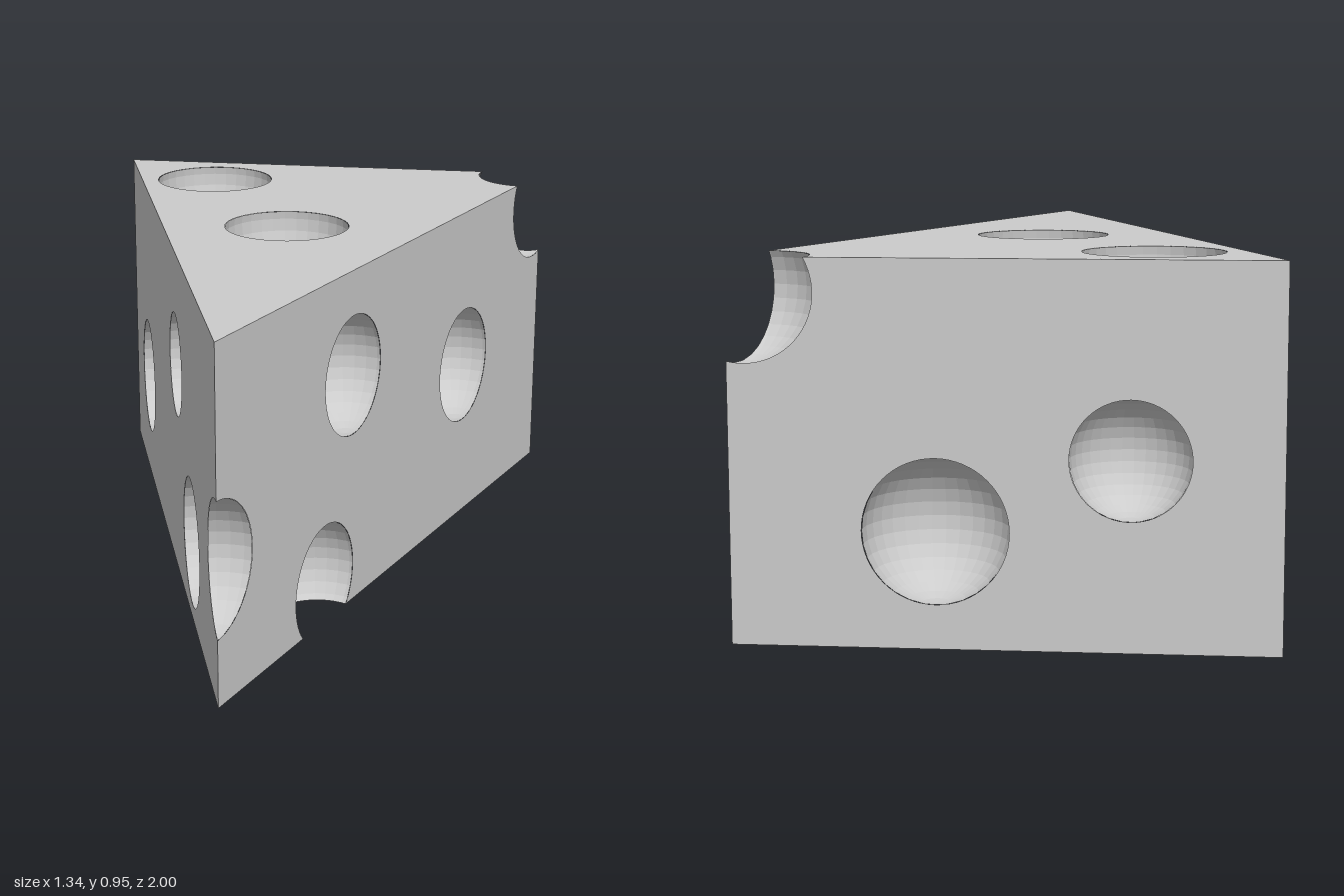
import * as THREE from 'three';

const V = (x, y, z) => new THREE.Vector3(x, y, z);
const HEIGHT = 0.95;

// Wedge plan corners: tip, back left, back right
const PLAN = [[0, 1], [0.67, -1], [-0.67, -1]];

// Spherical hollows: x, y, z, radius
const HOLLOWS = [
  [0.217, 0.657, 0.283, 0.169],   // left side
  [0.458, 0.475, -0.437, 0.176],
  [0.165, 0.11, 0.438, 0.171],    // left side, cut by the bottom
  [0.63, 0.866, -0.957, 0.177],   // top back corner
  [0, 0.367, 1.004, 0.183],       // front edge
  [-0.154, 0.22, 0.471, 0.181],   // right side
  [-0.259, 0.622, 0.157, 0.149],
  [-0.519, 0.33, -0.619, 0.181],
  [-0.346, 0.928, -0.75, 0.18],   // top
  [-0.02, 0.928, -0.167, 0.18],
  [0.167, 0.29, -0.978, 0.181],   // back
  [-0.303, 0.47, -0.978, 0.149],
].map(([x, y, z, r]) => ({ c: V(x, y, z), r }));

// Wedge faces as outward-facing corner loops
function wedgeFaces() {
  const at = (i, y) => V(PLAN[i % 3][0], y, PLAN[i % 3][1]);
  const faces = [
    { name: 'top', pts: [at(0, HEIGHT), at(1, HEIGHT), at(2, HEIGHT)] },
    { name: 'bottom', pts: [at(0, 0), at(2, 0), at(1, 0)] },
  ];
  ['leftSide', 'back', 'rightSide'].forEach((name, i) => faces.push({
    name, pts: [at(i, 0), at(i + 1, 0), at(i + 1, HEIGHT), at(i, HEIGHT)],
  }));
  for (const f of faces) f.plane = new THREE.Plane().setFromCoplanarPoints(...f.pts.slice(0, 3));
  return faces;
}

// Clockwise arc points from angle a to angle b
function arc(c, r, a, b) {
  while (b >= a) b -= Math.PI * 2;
  const n = Math.max(2, Math.ceil((a - b) / (Math.PI / 32)));
  return Array.from({ length: n + 1 }, (_, i) => {
    const t = a + (b - a) * i / n;
    return new THREE.Vector2(c.x + r * Math.cos(t), c.y + r * Math.sin(t));
  });
}

// Flat face with round holes, and bites where a hollow crosses its outline
function faceGeometry({ pts, plane }) {
  const n = plane.normal, u = pts[1].clone().sub(pts[0]).normalize(), v = n.clone().cross(u);
  const flat = p => {
    const d = p.clone().sub(pts[0]);
    return new THREE.Vector2(d.dot(u), d.dot(v));
  };
  const poly = pts.map(flat);
  const circles = HOLLOWS.map(h => ({ c: flat(h.c), q: h.r ** 2 - plane.distanceToPoint(h.c) ** 2 }))
    .filter(k => k.q > 0).map(k => ({ c: k.c, r: Math.sqrt(k.q) }));

  // Where the outline enters and leaves each circle
  poly.forEach((a, i) => {
    const e = poly[(i + 1) % poly.length].clone().sub(a), len = e.length();
    e.normalize();
    for (const k of circles) {
      const w = k.c.clone().sub(a), mid = w.dot(e), off = w.cross(e);
      if (Math.abs(off) >= k.r) continue;
      const half = Math.sqrt(k.r ** 2 - off ** 2);
      const angle = t => a.clone().addScaledVector(e, t).sub(k.c).angle();
      if (mid - half > 0 && mid - half < len) k.enter = { edge: i, t: mid - half, a: angle(mid - half) };
      if (mid + half > 0 && mid + half < len) k.leave = angle(mid + half);
    }
  });

  const outline = [];
  poly.forEach((a, i) => {
    if (!circles.some(k => k.c.distanceTo(a) < k.r)) outline.push(a);
    circles.filter(k => k.enter && k.enter.edge === i).sort((p, q) => p.enter.t - q.enter.t)
      .forEach(k => outline.push(...arc(k.c, k.r, k.enter.a, k.leave)));
  });
  const shape = new THREE.Shape(outline);
  for (const k of circles) {
    if (!k.enter) shape.holes.push(new THREE.Path(arc(k.c, k.r, Math.PI * 2, 0).slice(0, -1)));
  }
  return new THREE.ShapeGeometry(shape)
    .applyMatrix4(new THREE.Matrix4().makeBasis(u, v, n).setPosition(pts[0]));
}

// Keep the part of a convex polygon behind a plane
function clip(poly, plane) {
  const out = [];
  poly.forEach((a, i) => {
    const b = poly[(i + 1) % poly.length];
    const da = plane.distanceToPoint(a), db = plane.distanceToPoint(b);
    if (da <= 0) out.push(a);
    if (da * db < 0) out.push(a.clone().lerp(b, da / (da - db)));
  });
  return out;
}

// Inward-facing faceted sphere, trimmed to the wedge and to neighbouring hollows
function hollowGeometry(h, faces) {
  const planes = faces.map(f => f.plane);
  for (const o of HOLLOWS) {
    const d = o.c.distanceTo(h.c);
    if (o === h || d >= o.r + h.r) continue;
    const n = o.c.clone().sub(h.c).normalize();
    const s = (d * d + h.r ** 2 - o.r ** 2) / (2 * d);
    planes.push(new THREE.Plane().setFromNormalAndCoplanarPoint(n, h.c.clone().addScaledVector(n, s)));
  }
  const ball = new THREE.SphereGeometry(h.r, 32, 16).toNonIndexed().translate(h.c.x, h.c.y, h.c.z);
  const p = ball.attributes.position, verts = [];
  for (let i = 0; i < p.count; i += 3) {
    let poly = [i, i + 2, i + 1].map(j => V().fromBufferAttribute(p, j));
    for (const plane of planes) poly = clip(poly, plane);
    for (let j = 2; j < poly.length; j++) verts.push(poly[0], poly[j - 1], poly[j]);
  }
  const g = new THREE.BufferGeometry().setFromPoints(verts);
  g.computeVertexNormals();
  return g;
}

export function createModel() {
  const group = new THREE.Group();
  group.name = 'cheeseWedge';
  const material = new THREE.MeshStandardMaterial({ color: 0xcccccc, flatShading: true });
  const add = (name, geometry) => {
    const mesh = new THREE.Mesh(geometry, material);
    mesh.name = name;
    group.add(mesh);
  };
  const faces = wedgeFaces();
  for (const f of faces) add(f.name, faceGeometry(f));
  HOLLOWS.forEach((h, i) => add(`hole${i + 1}`, hollowGeometry(h, faces)));
  return group;
}
